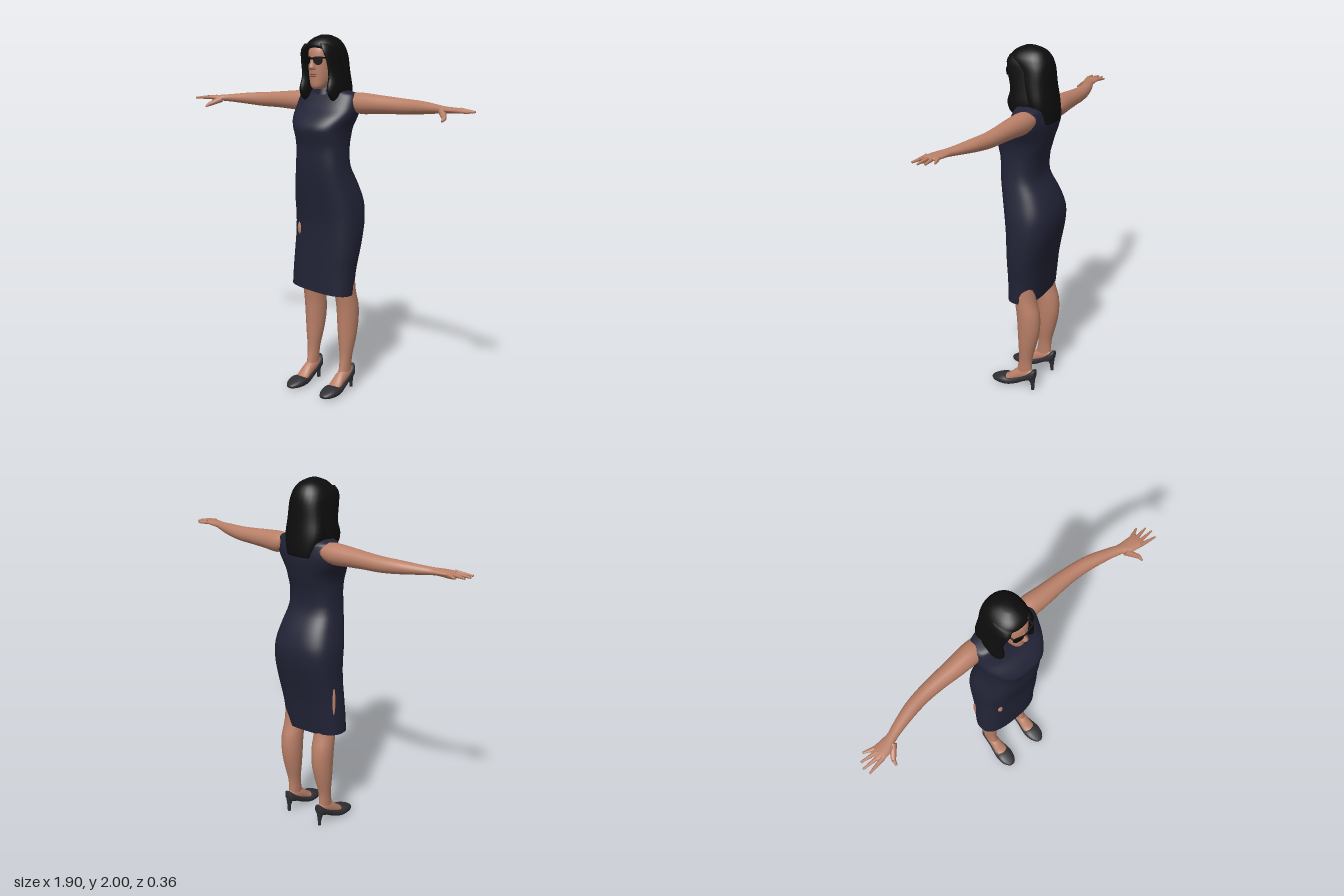
import * as THREE from 'three';

const mat = (name, color, side = THREE.FrontSide) => {
  const m = new THREE.MeshStandardMaterial({ color, side });
  m.name = name;
  return m;
};

// Smoothly blends neighbouring rows of numbers
function blendRows(rows, sub) {
  const out = [];
  const at = i => rows[Math.max(0, Math.min(rows.length - 1, i))];
  for (let i = 0; i < rows.length - 1; i++) {
    for (let k = 0; k < sub; k++) {
      const t = k / sub;
      out.push(rows[i].map((b, j) => {
        const a = at(i - 1)[j], c = at(i + 1)[j], d = at(i + 2)[j];
        return b + 0.5 * t * (c - a + t * (2 * a - 5 * b + 4 * c - d + t * (3 * (b - c) + d - a)));
      }));
    }
  }
  out.push(rows[rows.length - 1]);
  return out;
}

// Skins rounded sections; each row is [position, min a, max a, min b, max b]
function loft(rows, place, { power = 2, n = 28, sub = 3, capStart = true, capEnd = true } = {}) {
  const rings = blendRows(rows, sub), pos = [], idx = [];
  const bend = v => Math.sign(v) * Math.abs(v) ** (2 / power);
  for (const [t, a0, a1, b0, b1] of rings) {
    for (let i = 0; i < n; i++) {
      const u = i / n * Math.PI * 2;
      pos.push(...place(t, (a0 + a1) / 2 + (a1 - a0) / 2 * bend(Math.cos(u)),
        (b0 + b1) / 2 + (b1 - b0) / 2 * bend(Math.sin(u))));
    }
  }
  for (let r = 0; r < rings.length - 1; r++) {
    for (let i = 0; i < n; i++) {
      const a = r * n + i, b = r * n + (i + 1) % n;
      idx.push(a, b, a + n, b, b + n, a + n);
    }
  }
  const cap = (r, flip) => {
    const [t, a0, a1, b0, b1] = rings[r], c = pos.length / 3;
    pos.push(...place(t, (a0 + a1) / 2, (b0 + b1) / 2));
    for (let i = 0; i < n; i++) {
      const a = r * n + i, b = r * n + (i + 1) % n;
      idx.push(c, flip ? b : a, flip ? a : b);
    }
  };
  if (capStart) cap(0, true);
  if (capEnd) cap(rings.length - 1, false);
  // Turn the faces outwards whatever the axis
  const p = i => new THREE.Vector3().fromArray(pos, i * 3);
  const mid = pos.reduce((m, v, i) => (m[i % 3] += v * 3 / pos.length, m), [0, 0, 0]);
  const o = new THREE.Vector3(...mid);
  let volume = 0;
  for (let i = 0; i < idx.length; i += 3) {
    volume += p(idx[i]).sub(o).dot(p(idx[i + 1]).sub(o).cross(p(idx[i + 2]).sub(o)));
  }
  if (volume < 0) idx.reverse();
  const g = new THREE.BufferGeometry();
  g.setAttribute('position', new THREE.Float32BufferAttribute(pos, 3));
  g.setIndex(idx);
  g.computeVertexNormals();
  return g;
}

// Tapered rod between two points
function rod(from, to, r0, r1) {
  const a = new THREE.Vector3(...from), b = new THREE.Vector3(...to), d = b.clone().sub(a);
  const g = new THREE.CylinderGeometry(r1, r0, d.length(), 10);
  g.applyQuaternion(new THREE.Quaternion().setFromUnitVectors(new THREE.Vector3(0, 1, 0), d.normalize()));
  const c = a.add(b).multiplyScalar(0.5);
  return g.translate(c.x, c.y, c.z);
}

const ball = (x, y, z, rx, ry, rz) => new THREE.SphereGeometry(1, 18, 12).scale(rx, ry, rz).translate(x, y, z);

export function createModel() {
  const model = new THREE.Group();
  const skin = mat('skin', 0xba8068), dressMat = mat('navy cloth', 0x222336, THREE.DoubleSide);
  const hairMat = mat('black hair', 0x0d0d0e), shoeMat = mat('shoe leather', 0x2f2f34);
  const glass = mat('dark lens', 0x060607), lip = mat('lips', 0x8f5445);
  const add = (name, geometry, material) => {
    const m = new THREE.Mesh(geometry, material);
    m.name = name;
    model.add(m);
    return m;
  };
  const up = (t, a, b) => [a, t, b];

  // Dress, open at the slightly tilted hem
  add('dress', loft([
    [0.585, -0.22, 0.175, -0.10, 0.09], [0.7, -0.215, 0.18, -0.115, 0.09],
    [0.8, -0.208, 0.195, -0.13, 0.09], [0.9, -0.202, 0.205, -0.153, 0.09],
    [1.0, -0.2, 0.206, -0.175, 0.095], [1.1, -0.197, 0.197, -0.18, 0.11],
    [1.2, -0.176, 0.176, -0.145, 0.127], [1.3, -0.152, 0.158, -0.09, 0.138],
    [1.4, -0.145, 0.15, -0.092, 0.142], [1.46, -0.146, 0.152, -0.108, 0.156],
    [1.51, -0.16, 0.16, -0.12, 0.162], [1.56, -0.187, 0.18, -0.13, 0.13],
    [1.61, -0.2, 0.192, -0.135, 0.08], [1.66, -0.194, 0.188, -0.13, 0.05],
    [1.69, -0.175, 0.17, -0.12, 0.035], [1.71, -0.09, 0.085, -0.09, 0.035],
    [1.718, -0.05, 0.05, -0.075, 0.035],
  ], (t, a, b) => [a, t - (t < 0.75 ? 0.07 * a * (0.75 - t) / 0.165 : 0), b],
  { power: 2.6, n: 48, capStart: false }), dressMat);
  add('collar', loft([[1.685, -0.058, 0.058, -0.085, 0.05], [1.728, -0.045, 0.045, -0.07, 0.04]],
    up, { capEnd: false, capStart: false }), dressMat);
  // Skin seen through the openings of the skirt
  add('frontOpening', ball(-0.125, 0.935, 0.07, 0.016, 0.038, 0.014), skin);
  add('sideSlit', ball(-0.203, 0.805, -0.062, 0.008, 0.08, 0.009), skin);

  // Neck and head
  add('neck', loft([[1.66, -0.055, 0.055, -0.08, 0.03], [1.72, -0.043, 0.043, -0.065, 0.036],
    [1.79, -0.043, 0.043, -0.06, 0.05]], up), skin);
  add('head', loft([
    [1.715, -0.022, 0.022, 0.04, 0.09], [1.73, -0.04, 0.04, 0.0, 0.102],
    [1.77, -0.057, 0.057, -0.06, 0.105], [1.82, -0.066, 0.066, -0.09, 0.108],
    [1.88, -0.07, 0.07, -0.1, 0.108], [1.93, -0.068, 0.068, -0.1, 0.1],
    [1.97, -0.04, 0.04, -0.06, 0.06],
  ], up, { power: 2.3 }), skin);
  add('nose', loft([[1.815, -0.016, 0.016, 0.09, 0.122], [1.83, -0.017, 0.017, 0.09, 0.134],
    [1.85, -0.01, 0.01, 0.09, 0.122], [1.88, -0.007, 0.007, 0.09, 0.112]], up, { n: 14 }), skin);
  add('upperLip', ball(0, 1.793, 0.104, 0.023, 0.005, 0.008), lip);
  add('lowerLip', ball(0, 1.783, 0.103, 0.019, 0.005, 0.008), lip);

  // Sunglasses
  const lens = new THREE.Shape();
  lens.moveTo(-0.026, 0.02);
  lens.lineTo(0.028, 0.022);
  lens.quadraticCurveTo(0.032, -0.018, 0.006, -0.022);
  lens.quadraticCurveTo(-0.026, -0.024, -0.026, 0.02);
  for (const s of [1, -1]) {
    const plate = new THREE.ExtrudeGeometry(lens, { depth: 0.006, bevelEnabled: false });
    if (s < 0) plate.rotateY(Math.PI).translate(0, 0, 0.006);
    plate.rotateY(s * 0.28).translate(s * 0.035, 1.865, 0.108);
    add('sunglassesLens', plate, glass);
    add('sunglassesArm', rod([s * 0.06, 1.88, 0.1], [s * 0.076, 1.88, 0], 0.004, 0.004), glass);
  }
  add('sunglassesBridge', new THREE.BoxGeometry(0.024, 0.008, 0.006).translate(0, 1.876, 0.116), glass);

  // Hair: crown and back, then a lock on each side of the face
  add('hairCrown', loft([
    [1.61, -0.085, 0.07, -0.152, -0.1], [1.65, -0.115, 0.1, -0.154, -0.02],
    [1.72, -0.13, 0.112, -0.148, 0.0], [1.8, -0.122, 0.108, -0.138, 0.03],
    [1.88, -0.112, 0.1, -0.133, 0.045], [1.92, -0.107, 0.095, -0.126, 0.09],
    [1.95, -0.095, 0.085, -0.112, 0.1], [1.98, -0.066, 0.058, -0.085, 0.072],
    [2.0, -0.025, 0.02, -0.035, 0.025],
  ], up, { power: 2.3 }), hairMat);
  for (const s of [1, -1]) {
    const shift = s > 0 ? -0.008 : -0.012;
    add('hairLock', loft([
      [1.635, 0.085, 0.108, -0.03, 0.02], [1.67, 0.068, 0.122, -0.06, 0.07],
      [1.72, 0.062, 0.125, -0.08, 0.085], [1.78, 0.062, 0.118, -0.08, 0.07],
      [1.86, 0.064, 0.108, -0.08, 0.085], [1.92, 0.045, 0.1, -0.08, 0.1],
      [1.955, 0.02, 0.08, -0.06, 0.092],
    ], (t, a, b) => [s * a + shift, t, b], { n: 18 }), hairMat);
  }

  for (const s of [1, -1]) {
    // Arm and palm
    add('arm', loft([
      [0.14, 1.6, 1.69, -0.115, -0.005], [0.2, 1.582, 1.697, -0.118, -0.002],
      [0.3, 1.587, 1.69, -0.108, -0.004], [0.4, 1.592, 1.682, -0.1, -0.01],
      [0.5, 1.594, 1.675, -0.09, -0.01], [0.6, 1.602, 1.67, -0.07, 0.004],
      [0.7, 1.612, 1.66, -0.035, 0.026], [0.75, 1.616, 1.655, -0.014, 0.042],
      [0.79, 1.62, 1.652, -0.01, 0.065], [0.84, 1.624, 1.65, -0.006, 0.076],
      [0.87, 1.628, 1.646, 0.002, 0.072],
    ], (t, a, b) => [s * t, a, b], { n: 20 }), skin);
    // Fingers as [root z, tip x, tip z]
    for (const [z0, x1, z1] of [[0.004, 0.9, -0.018], [0.026, 0.935, 0.012], [0.048, 0.948, 0.045], [0.066, 0.938, 0.082]]) {
      add('finger', rod([s * 0.845, 1.638, z0], [s * x1, 1.633, z1], 0.012, 0.005), skin);
    }
    add('thumb', rod([s * 0.765, 1.63, 0.04], [s * 0.81, 1.6, 0.095], 0.02, 0.012), skin);
    add('thumbTip', rod([s * 0.81, 1.6, 0.095], [s * 0.815, 1.587, 0.122], 0.012, 0.005), skin);

    // Leg, foot and court shoe
    const side = (t, a, b) => [s * a, t, b];
    add('leg', loft([
      [0.07, 0.092, 0.148, -0.085, 0.03], [0.12, 0.09, 0.147, -0.08, 0.015],
      [0.2, 0.086, 0.152, -0.08, 0.002], [0.3, 0.07, 0.166, -0.105, 0.004],
      [0.4, 0.06, 0.174, -0.125, 0.008], [0.5, 0.056, 0.178, -0.122, 0.014],
      [0.6, 0.052, 0.175, -0.095, 0.03], [0.75, 0.04, 0.175, -0.09, 0.05],
      [0.95, 0.02, 0.175, -0.1, 0.05],
    ], side, { n: 24 }), skin);
    const along = (t, a, b) => [s * a, b, t];
    add('foot', loft([
      [-0.085, 0.1, 0.14, 0.085, 0.13], [-0.04, 0.088, 0.149, 0.06, 0.14],
      [0.02, 0.085, 0.153, 0.03, 0.115], [0.07, 0.08, 0.158, 0.015, 0.068], [0.11, 0.085, 0.155, 0.01, 0.05],
    ], along, { n: 20 }), skin);
    add('shoe', loft([
      [-0.104, 0.106, 0.136, 0.085, 0.14], [-0.085, 0.088, 0.15, 0.066, 0.13],
      [-0.04, 0.084, 0.154, 0.05, 0.1], [0.01, 0.08, 0.16, 0.022, 0.075],
      [0.06, 0.072, 0.17, 0.004, 0.056], [0.1, 0.07, 0.174, 0.0, 0.058],
      [0.14, 0.078, 0.168, 0.002, 0.046], [0.17, 0.095, 0.15, 0.006, 0.032], [0.181, 0.11, 0.135, 0.012, 0.024],
    ], along, { power: 2.4, n: 24 }), shoeMat);
    add('heel', loft([
      [0, 0.112, 0.13, -0.096, -0.076], [0.04, 0.11, 0.132, -0.098, -0.072], [0.09, 0.098, 0.144, -0.104, -0.045],
    ], side, { n: 14 }), shoeMat);
  }
  return model;
}
